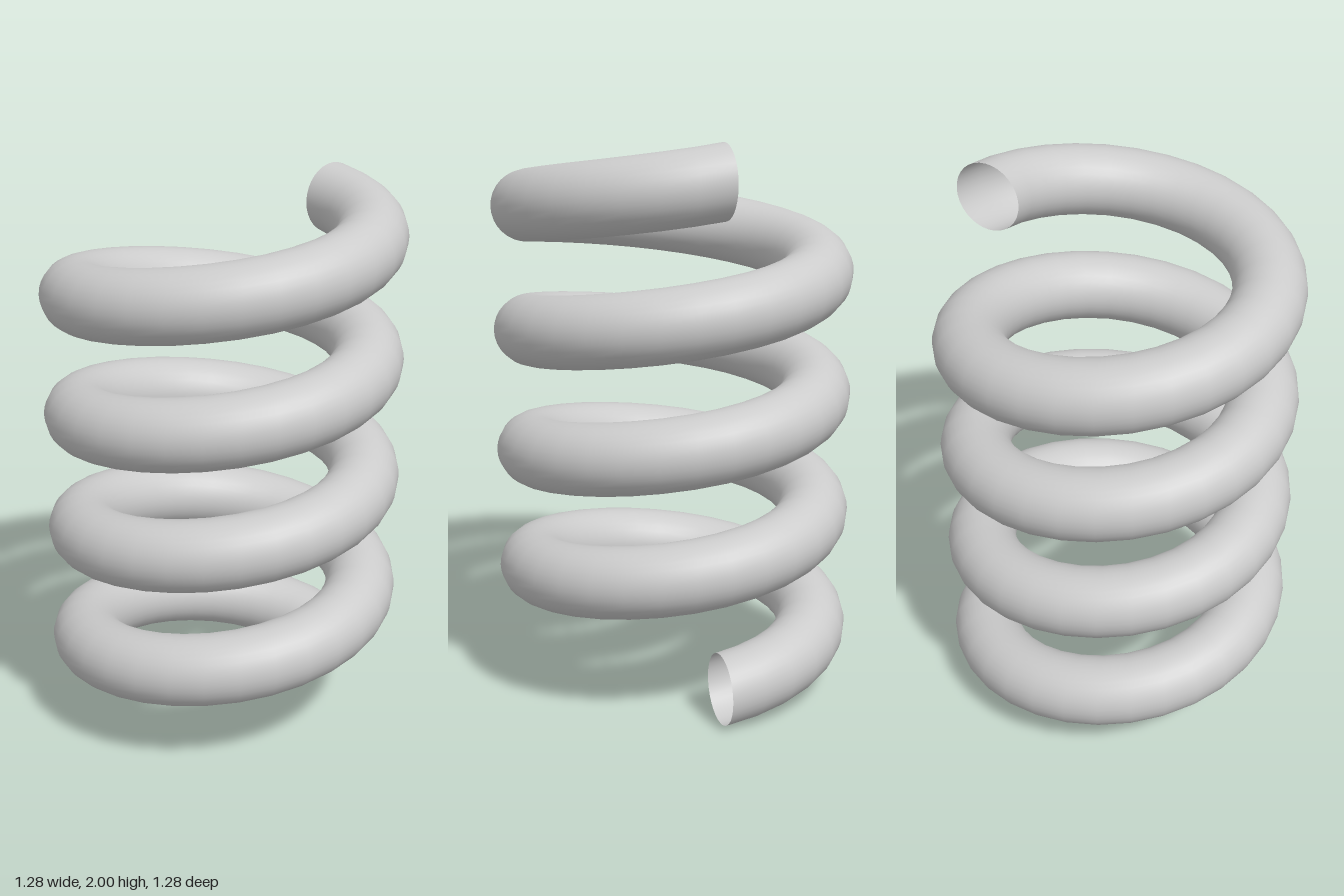
import * as THREE from 'three';

const TURNS = 4;
const STEPS_PER_TURN = 32;
const SIDES = 32;
const COIL_RADIUS = 0.512;
const WIRE_RADIUS = 0.126;
const Y_START = WIRE_RADIUS;
const Y_END = 2 - WIRE_RADIUS;

// Circular section kept upright in the radial plane and screwed around the y axis
function coilGeometry() {
  const steps = TURNS * STEPS_PER_TURN;
  const positions = [];
  const indices = [];
  for (let i = 0; i <= steps; i++) {
    const turn = (i / STEPS_PER_TURN) * Math.PI * 2;
    const y = THREE.MathUtils.lerp(Y_START, Y_END, i / steps);
    for (let j = 0; j < SIDES; j++) {
      const a = (j / SIDES) * Math.PI * 2;
      const radius = COIL_RADIUS + WIRE_RADIUS * Math.cos(a);
      positions.push(radius * Math.cos(turn), y + WIRE_RADIUS * Math.sin(a), -radius * Math.sin(turn));
    }
  }
  // Join neighbouring rings, wrapping around the section; both ends stay open
  for (let i = 0; i < steps; i++) {
    for (let j = 0; j < SIDES; j++) {
      const k = (j + 1) % SIDES;
      const a = i * SIDES + j;
      const b = (i + 1) * SIDES + j;
      const c = (i + 1) * SIDES + k;
      const d = i * SIDES + k;
      indices.push(a, b, c, a, c, d);
    }
  }
  const geometry = new THREE.BufferGeometry();
  geometry.setAttribute('position', new THREE.Float32BufferAttribute(positions, 3));
  geometry.setIndex(indices);
  geometry.computeVertexNormals();
  return geometry;
}

export function createModel() {
  const group = new THREE.Group();
  group.name = 'spring';
  const material = new THREE.MeshStandardMaterial({ color: 0xcccccc, side: THREE.DoubleSide });
  const coil = new THREE.Mesh(coilGeometry(), material);
  coil.name = 'coil';
  group.add(coil);
  return group;
}
